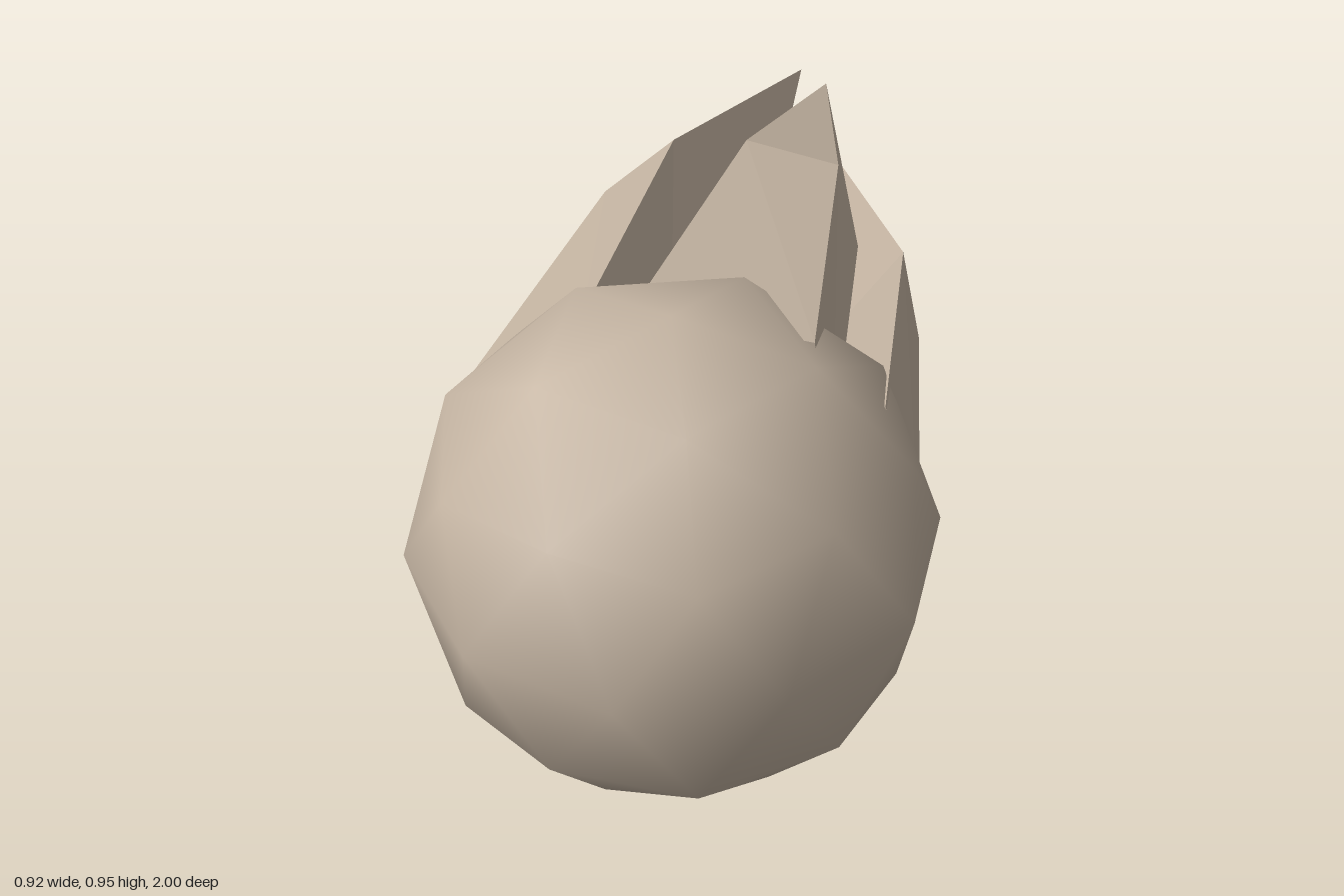
import * as THREE from 'three';

// Faceted ball with smooth normals: a once-divided icosahedron, pole upward
function ballGeometry(radius) {
  const verts = [0, 1, 0];
  const ring = (y, offset) => {
    for (let i = 0; i < 5; i++) {
      const a = (i * 72 + offset) * Math.PI / 180;
      verts.push(Math.cos(a) * 0.8944, y, Math.sin(a) * 0.8944);
    }
  };
  ring(0.4472, 0);
  ring(-0.4472, 36);
  verts.push(0, -1, 0);
  const faces = [];
  for (let i = 0; i < 5; i++) {
    const j = (i + 1) % 5;
    const u0 = 1 + i, u1 = 1 + j, l0 = 6 + i, l1 = 6 + j;
    faces.push(0, u1, u0, u0, u1, l0, u1, l1, l0, 11, l0, l1);
  }
  return new THREE.PolyhedronGeometry(verts, faces, radius, 1);
}

// Flat-sided spike: triangular root and middle sections closing to a tip
function spikeGeometry(root, middle, tip) {
  const pos = [];
  const tri = (...pts) => pts.forEach((p) => pos.push(...p));
  tri(root[0], root[1], root[2]);
  for (let i = 0; i < 3; i++) {
    const j = (i + 1) % 3;
    tri(root[i], middle[i], middle[j]);
    tri(root[i], middle[j], root[j]);
    tri(middle[i], tip, middle[j]);
  }
  const geo = new THREE.BufferGeometry();
  geo.setAttribute('position', new THREE.Float32BufferAttribute(pos, 3));
  geo.computeVertexNormals();
  return geo;
}

// Each spike: corners run counter-clockwise as seen from the front
const spikes = {
  upperLeftTail: {
    root: [[0.235, 0.855, 0.43], [-0.08, 0.885, 0.43], [0.27, 0.63, 0.43]],
    middle: [[0.16, 0.79, -0.23], [-0.02, 0.81, -0.25], [0.2, 0.605, -0.24]],
    tip: [0.02, 0.555, -0.9],
  },
  upperRightTail: {
    root: [[-0.405, 0.65, 0.43], [-0.02, 0.52, 0.43], [-0.17, 0.86, 0.43]],
    middle: [[-0.31, 0.625, -0.3], [0, 0.53, -0.27], [-0.165, 0.78, -0.27]],
    tip: [-0.05, 0.525, -0.995],
  },
  leftTail: {
    root: [[0.43, 0.44, 0.43], [0.36, 0.74, 0.43], [0.18, 0.4, 0.43]],
    middle: [[0.336, 0.475, -0.15], [0.3, 0.665, -0.15], [0.15, 0.435, -0.15]],
    tip: [0.08, 0.5, -0.7],
  },
  lowerLeftTail: {
    root: [[0.36, 0.165, 0.43], [0.36, 0.42, 0.43], [0.13, 0.13, 0.43]],
    middle: [[0.28, 0.23, -0.15], [0.3, 0.425, -0.12], [0.12, 0.22, -0.15]],
    tip: [0.06, 0.43, -0.71],
  },
  bottomTail: {
    root: [[-0.3, 0.13, 0.43], [0.08, 0.08, 0.43], [-0.09, 0.34, 0.43]],
    middle: [[-0.2, 0.17, -0.25], [0.05, 0.18, -0.27], [-0.08, 0.37, -0.25]],
    tip: [-0.03, 0.41, -0.955],
  },
  rightTail: {
    root: [[-0.37, 0.575, 0.43], [-0.46, 0.445, 0.43], [-0.28, 0.26, 0.43]],
    middle: [[-0.28, 0.545, -0.2], [-0.35, 0.44, -0.2], [-0.25, 0.32, -0.2]],
    tip: [-0.06, 0.465, -0.78],
  },
};

export function createModel() {
  const model = new THREE.Group();
  model.name = 'comet';
  const stone = new THREE.MeshStandardMaterial({ color: 0xc4b4a2 });
  stone.name = 'warm stone';

  // Round head
  const head = new THREE.Mesh(ballGeometry(0.473), stone);
  head.name = 'head';
  head.position.set(0.008, 0.473, 0.527);
  model.add(head);

  // Trailing spikes
  for (const [name, s] of Object.entries(spikes)) {
    const mesh = new THREE.Mesh(spikeGeometry(s.root, s.middle, s.tip), stone);
    mesh.name = name;
    model.add(mesh);
  }
  return model;
}
